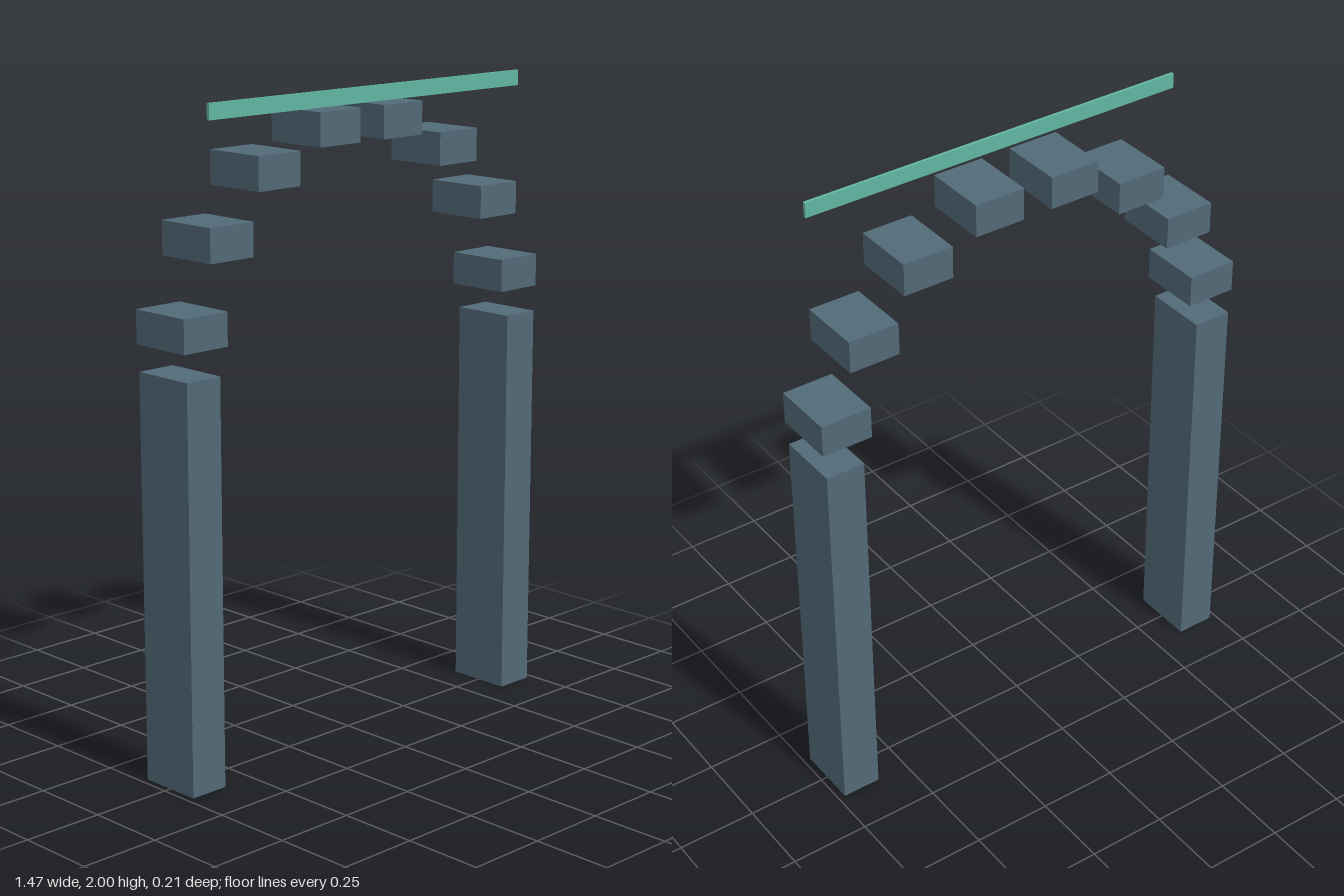
import * as THREE from 'three';

const slate = new THREE.MeshStandardMaterial({ color: 0x526a78 });
slate.name = 'slate stone';
const teal = new THREE.MeshStandardMaterial({ color: 0x60b5a1 });
teal.name = 'teal trim';

const DEPTH = 0.204;

function addBox(parent, name, material, size, position) {
  const mesh = new THREE.Mesh(new THREE.BoxGeometry(...size), material);
  mesh.name = name;
  mesh.position.set(...position);
  parent.add(mesh);
}

export function createModel() {
  const model = new THREE.Group();
  model.name = 'archway';

  // Centres of the arch blocks on one side, from springing to crown
  const blocks = [[0.655, 1.363], [0.554, 1.605], [0.37, 1.787], [0.129, 1.889]];

  for (const [side, sign] of [['left', 1], ['right', -1]]) {
    // Tall pillar
    addBox(model, `${side}Pillar`, slate, [0.124, 1.232, DEPTH], [sign * 0.666, 0.616, 0]);
    // Floating stones stepping up the curve
    blocks.forEach(([x, y], i) =>
      addBox(model, `${side}ArchBlock${i + 1}`, slate, [0.162, 0.101, DEPTH], [sign * x, y, 0]));
  }

  // Thin trim strip above the crown, at the front face
  addBox(model, 'topTrim', teal, [1.268, 0.047, 0.01], [0, 1.9765, 0.099]);

  return model;
}
